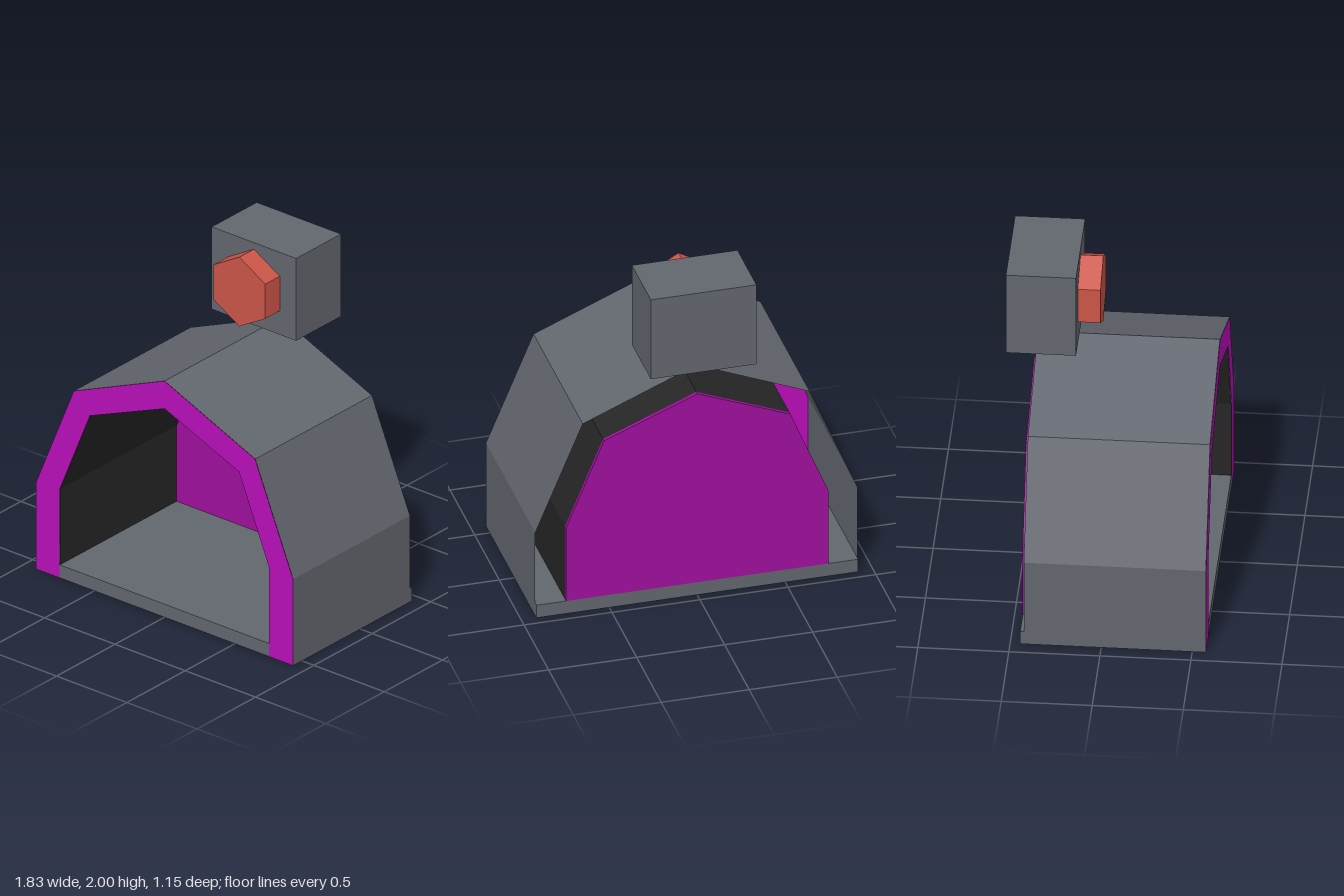
import * as THREE from 'three';

const flat = (name, color, side = THREE.FrontSide) => {
  const m = new THREE.MeshStandardMaterial({ color, side });
  m.name = name;
  return m;
};

// Arch outline from the +x foot, over the ridge, to the -x foot
const arch = (half, foot, eave, shoulderX, shoulderY, ridge) => [
  [half, foot], [half, eave], [shoulderX, shoulderY], [0, ridge],
  [-shoulderX, shoulderY], [-half, eave], [-half, foot],
];

const toShape = (pts) => new THREE.Shape(pts.map(([x, y]) => new THREE.Vector2(x, y)));

// Open, flat-faced shell that sweeps an outline along z
function shellGeometry(pts, front, back) {
  const pos = [];
  for (let i = 0; i < pts.length - 1; i++) {
    const [ax, ay] = pts[i], [bx, by] = pts[i + 1];
    pos.push(ax, ay, front, ax, ay, back, bx, by, back);
    pos.push(ax, ay, front, bx, by, back, bx, by, front);
  }
  const g = new THREE.BufferGeometry();
  g.setAttribute('position', new THREE.Float32BufferAttribute(pos, 3));
  g.computeVertexNormals();
  return g;
}

export function createModel() {
  const group = new THREE.Group();
  const grey = flat('grey', 0x62666e);
  const greyShell = flat('grey shell', 0x62666e, THREE.DoubleSide);
  const dark = flat('dark lining', 0x262626, THREE.DoubleSide);
  const purple = flat('bright purple', 0xb80eb8, THREE.DoubleSide);
  const deepPurple = flat('deep purple', 0x9e109e);
  const red = flat('red', 0xcc5548);

  const add = (name, geometry, material, x = 0, y = 0, z = 0) => {
    const mesh = new THREE.Mesh(geometry, material);
    mesh.name = name;
    mesh.position.set(x, y, z);
    group.add(mesh);
    return mesh;
  };

  const front = 0.575, back = -0.425;
  const outer = arch(0.915, 0, 0.53, 0.645, 1.18, 1.45);
  const inner = arch(0.745, 0, 0.545, 0.53, 1.065, 1.28);

  // Hollow double shell, open at the back between the two skins
  add('outerShell', shellGeometry(outer, front, back), greyShell);
  add('innerLining', shellGeometry(inner, front, back), dark);

  // Front rim joining the two skins
  const rim = toShape([...outer, ...[...inner].reverse()]);
  add('frontRim', new THREE.ShapeGeometry(rim), purple, 0, 0, front + 0.001);

  // Floor slab, reaching just past the back of the shell
  add('floor', new THREE.BoxGeometry(1.828, 0.08, 1.02), grey, 0, 0.04, 0.065);

  // Back wall plate standing on the floor
  const wall = toShape(arch(0.745, 0.08, 0.545, 0.53, 1.065, 1.28));
  add('backWall', new THREE.ExtrudeGeometry(wall, { depth: 0.02, bevelEnabled: false }),
    deepPurple, 0, 0, -0.445);

  // Lamp housing above the ridge with a hexagonal lamp
  add('lampHousing', new THREE.BoxGeometry(0.6, 0.505, 0.385), grey, 0, 1.7475, -0.3825);
  const lamp = new THREE.CylinderGeometry(0.2125, 0.2125, 0.125, 6).toNonIndexed();
  lamp.rotateX(Math.PI / 2);
  lamp.computeVertexNormals();
  add('lamp', lamp, red, 0, 1.7475, -0.1275);

  return group;
}
